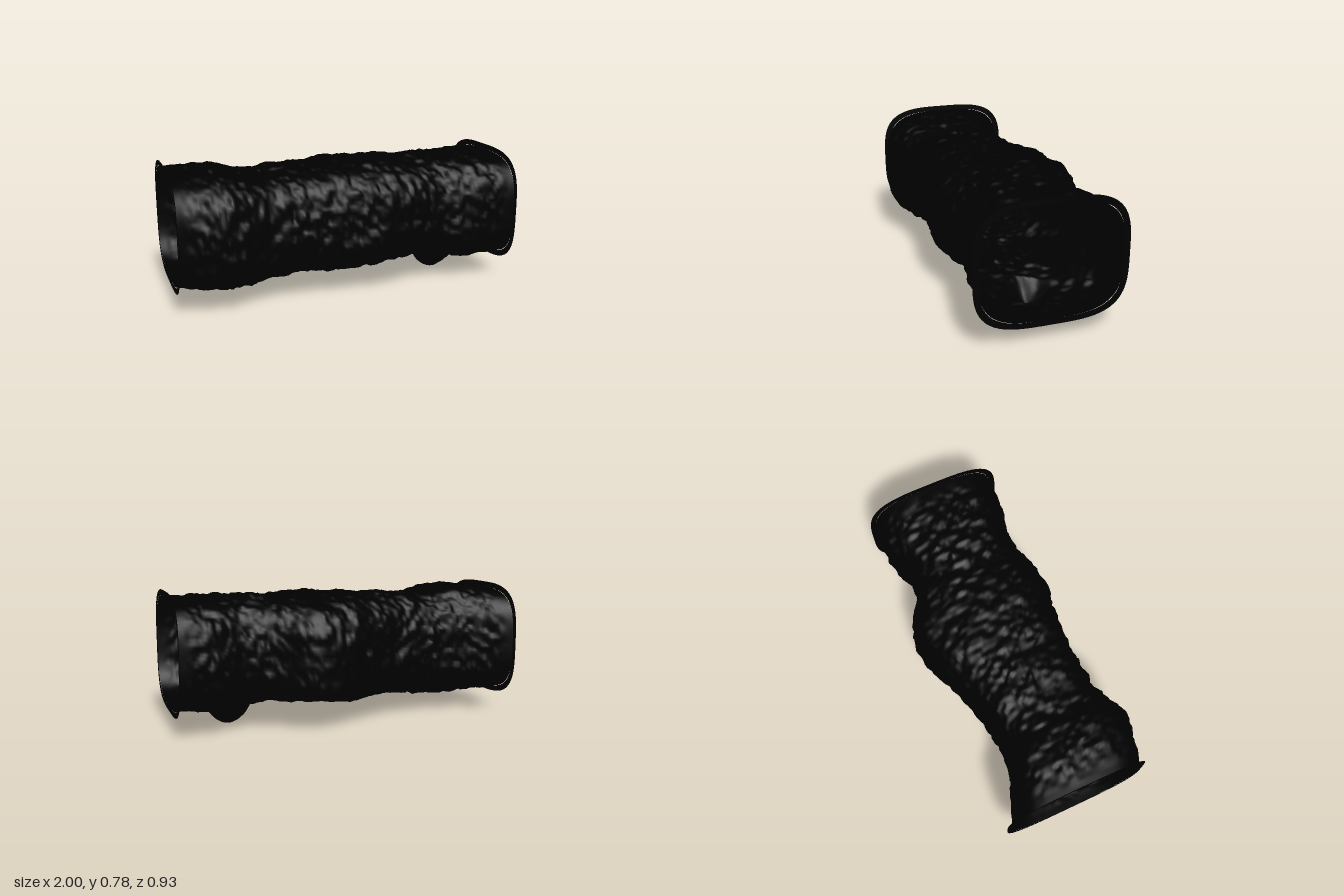
import * as THREE from 'three';

const RINGS = 200, SIDES = 128, CENTER_Y = 0.44;

// Wall positions along the passage, as [x, value] pairs
const ROOF = [[-1, .75], [-.9, .758], [-.78, .764], [-.68, .753], [-.55, .725], [-.4, .733], [-.3, .73], [-.1, .743],
  [.05, .745], [.3, .743], [.5, .741], [.75, .745], [1, .75]];
const FLOOR = [[-1, .13], [-.85, .112], [-.7, .095], [-.6, .093], [-.4, .115], [-.28, .124], [-.1, .117], [.1, .13],
  [.3, .15], [.45, .148], [.58, .127], [.8, .12], [.9, .128], [1, .13]];
const FRONT = [[-1, .39], [-.9, .425], [-.77, .452], [-.65, .437], [-.5, .377], [-.35, .357], [-.1, .357], [.05, .377],
  [.2, .402], [.35, .377], [.5, .344], [.6, .344], [.75, .37], [1, .39]];
const BACK = [[-1, .39], [-.8, .31], [-.65, .268], [-.45, .27], [-.3, .298], [-.1, .36], [.05, .422], [.2, .458],
  [.3, .432], [.45, .342], [.55, .318], [.65, .328], [.8, .38], [1, .39]];

// Smooth cubic interpolation through the pairs
function sample(pairs, x) {
  let i = 0;
  while (i < pairs.length - 2 && x > pairs[i + 1][0]) i++;
  const slope = (k) => {
    const a = pairs[Math.max(k - 1, 0)], b = pairs[Math.min(k + 1, pairs.length - 1)];
    return (b[1] - a[1]) / (b[0] - a[0]);
  };
  const [x0, v0] = pairs[i], [x1, v1] = pairs[i + 1];
  const h = x1 - x0, t = (x - x0) / h, t2 = t * t, t3 = t2 * t;
  return v0 * (2 * t3 - 3 * t2 + 1) + v1 * (3 * t2 - 2 * t3)
    + h * (slope(i) * (t3 - 2 * t2 + t) + slope(i + 1) * (t3 - t2));
}

// Seeded value noise in the range -1 to 1
function hash(i, j, k) {
  let n = Math.imul(i, 374761393) + Math.imul(j, 668265263) + Math.imul(k, 1274126177);
  n = Math.imul(n ^ (n >>> 13), 1103515245);
  return ((n ^ (n >>> 16)) >>> 0) / 2147483648 - 1;
}
function noise(x, y, z) {
  const c = [x, y, z].map(Math.floor);
  const [u, v, w] = [x - c[0], y - c[1], z - c[2]].map((t) => t * t * (3 - 2 * t));
  let sum = 0;
  for (let i = 0; i < 2; i++) for (let j = 0; j < 2; j++) for (let k = 0; k < 2; k++) {
    sum += hash(c[0] + i, c[1] + j, c[2] + k) * (i ? u : 1 - u) * (j ? v : 1 - v) * (k ? w : 1 - w);
  }
  return sum;
}

// Distance from the centre to a rounded-square outline
function outlineRadius(c, s, width, height, power) {
  return (Math.abs(c / width) ** power + Math.abs(s / height) ** power) ** (-1 / power);
}

// Squareness of each corner: wide bulges are squarer, narrow stretches rounder
function cornerPower(x, c, s, width) {
  const bump = (center, spread) => Math.exp(-(((x - center) / spread) ** 2));
  const power = 2.6 + 0.8 * THREE.MathUtils.smoothstep(width, 0.26, 0.42);
  if (c > 0) return s > 0 ? power : power - 0.5 * bump(-0.65, 0.3) - 0.3 * bump(0.4, 0.3);
  return s > 0 ? power + 0.4 * bump(-0.4, 0.25) - 0.4 * bump(0.2, 0.2) : power + 1.4 * bump(0.25, 0.22);
}

function wallPoint(x, angle) {
  const c = Math.cos(angle), s = Math.sin(angle);
  const width = sample(c > 0 ? FRONT : BACK, x);
  const height = s > 0 ? sample(ROOF, x) - CENTER_Y : CENTER_Y - sample(FLOOR, x);
  let r = outlineRadius(c, s, width, height, cornerPower(x, c, s, width));

  // Rough rock, fading out at the clean mouths and around the floor pit
  const py = r * s, pz = r * c;
  const pit = s < 0 ? Math.max(0, 1 - Math.abs(pz + 0.01) / 0.17 - ((x - 0.66) / 0.15) ** 2) : 0;
  const rough = THREE.MathUtils.smoothstep(1 - Math.abs(x), 0.01, 0.14) * (1 - pit);
  r += rough * (0.009 * noise(x * 7, py * 7, pz * 7) + 0.01 * noise(x * 17 + 9, py * 17, pz * 17)
    + 0.011 * noise(x * 34, py * 34 + 5, pz * 34));

  return [x, CENTER_Y + r * s - 0.122 * pit, r * c];
}

// Closed rings joined into one open-ended tube
function wallGeometry() {
  const positions = [], index = [];
  for (let i = 0; i <= RINGS; i++) {
    for (let j = 0; j < SIDES; j++) {
      positions.push(...wallPoint(-1 + (2 * i) / RINGS, (j / SIDES) * Math.PI * 2));
      if (i === RINGS) continue;
      const a = i * SIDES + j, b = i * SIDES + ((j + 1) % SIDES);
      index.push(a, b, a + SIDES, b, b + SIDES, a + SIDES);
    }
  }
  const geometry = new THREE.BufferGeometry();
  geometry.setAttribute('position', new THREE.Float32BufferAttribute(positions, 3));
  geometry.setIndex(index);
  geometry.computeVertexNormals();
  return geometry;
}

// Flat ring around a mouth
function rimGeometry() {
  const outline = (width, height) => Array.from({ length: SIDES }, (_, j) => {
    const angle = (j / SIDES) * Math.PI * 2, c = Math.cos(angle), s = Math.sin(angle);
    const r = outlineRadius(c, s, width, height, 3.5);
    return new THREE.Vector2(r * c, r * s);
  });
  const shape = new THREE.Shape(outline(0.42, 0.342));
  shape.holes.push(new THREE.Path(outline(0.388, 0.31)));
  return new THREE.ShapeGeometry(shape);
}

export function createModel() {
  const rock = new THREE.MeshStandardMaterial({ color: 0x000000, side: THREE.DoubleSide });
  rock.name = 'black rock';
  const group = new THREE.Group();
  group.name = 'caveTunnel';

  const wall = new THREE.Mesh(wallGeometry(), rock);
  wall.name = 'caveWall';
  group.add(wall);

  // Flanges facing outward at both mouths
  const rim = rimGeometry();
  for (const side of [-1, 1]) {
    const mouth = new THREE.Mesh(rim, rock);
    mouth.name = side > 0 ? 'leftMouthRim' : 'rightMouthRim';
    mouth.position.set(side, CENTER_Y, 0);
    mouth.rotation.y = (side * Math.PI) / 2;
    group.add(mouth);
  }
  return group;
}
